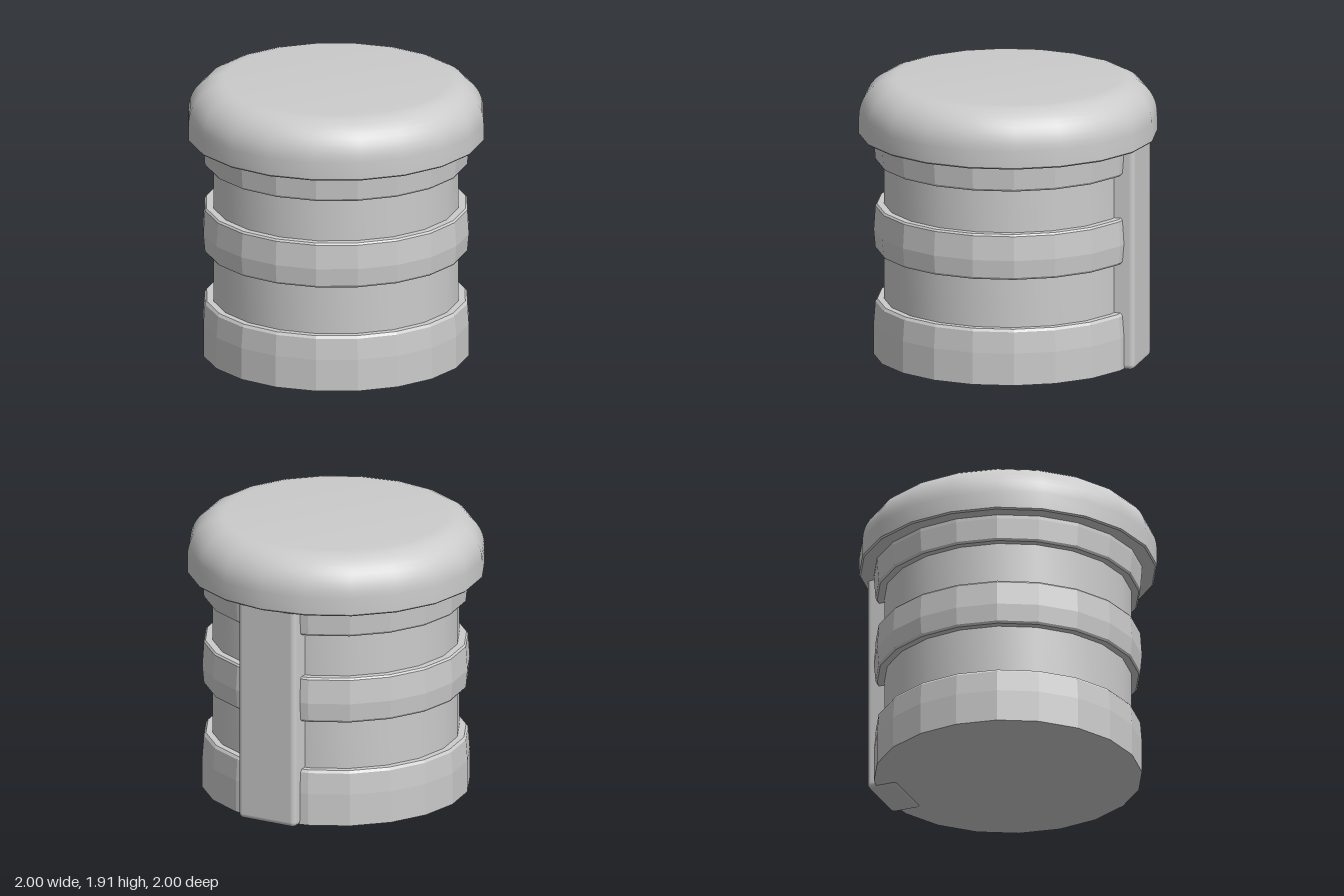
import * as THREE from 'three';
import { toCreasedNormals } from 'three/addons/utils/BufferGeometryUtils.js';
import { RoundedBoxGeometry } from 'three/addons/geometries/RoundedBoxGeometry.js';

const SIDES = 20;
const smooth = new THREE.MeshStandardMaterial({ color: 0xcccccc });
const faceted = new THREE.MeshStandardMaterial({ color: 0xcccccc, flatShading: true });

// Turn a [radius, height] profile, listed bottom to top
function turned(name, profile, material) {
  const points = profile.map(([r, y]) => new THREE.Vector2(r, y));
  const geometry = toCreasedNormals(new THREE.LatheGeometry(points, SIDES), 0.6);
  const mesh = new THREE.Mesh(geometry, material);
  mesh.name = name;
  return mesh;
}

export function createModel() {
  const model = new THREE.Group();
  model.name = 'cappedBarrel';

  // Inner cylinder
  model.add(turned('body', [[0, 0.03], [0.83, 0.03], [0.83, 1.6], [0, 1.6]], smooth));

  // Base with closed underside, slightly tapered above its middle
  model.add(turned('baseRing', [
    [0, 0.01], [0.9, 0.01], [0.9, 0.23], [0.889, 0.375], [0.875, 0.393], [0.8, 0.393],
  ], faceted));

  // Barrel-shaped middle band
  model.add(turned('middleRing', [
    [0.8, 0.735], [0.878, 0.735], [0.889, 0.75], [0.9, 0.87],
    [0.889, 1.035], [0.878, 1.048], [0.8, 1.048],
  ], faceted));

  // Upper band under the cap
  model.add(turned('upperRing', [
    [0.8, 1.345], [0.878, 1.345], [0.889, 1.36], [0.9, 1.5], [0.9, 1.56],
  ], faceted));

  // Cap with a rounded shoulder and flat top
  const cap = [[0, 1.525], [0.99, 1.525], [1, 1.535]];
  const steps = 10;
  for (let i = 0; i <= steps; i++) {
    const a = (i / steps) * Math.PI / 2;
    cap.push([0.75 + 0.25 * Math.cos(a), 1.65 + 0.26 * Math.sin(a)]);
  }
  cap.push([0, 1.91]);
  model.add(turned('cap', cap, smooth));

  // Upright plate on the back, running up into the cap
  const height = 1.6;
  const plate = new THREE.Mesh(new RoundedBoxGeometry(0.44, height, 0.22, 3, 0.035), smooth);
  plate.name = 'backPlate';
  plate.position.set(0, height / 2, -0.825);
  model.add(plate);

  return model;
}
